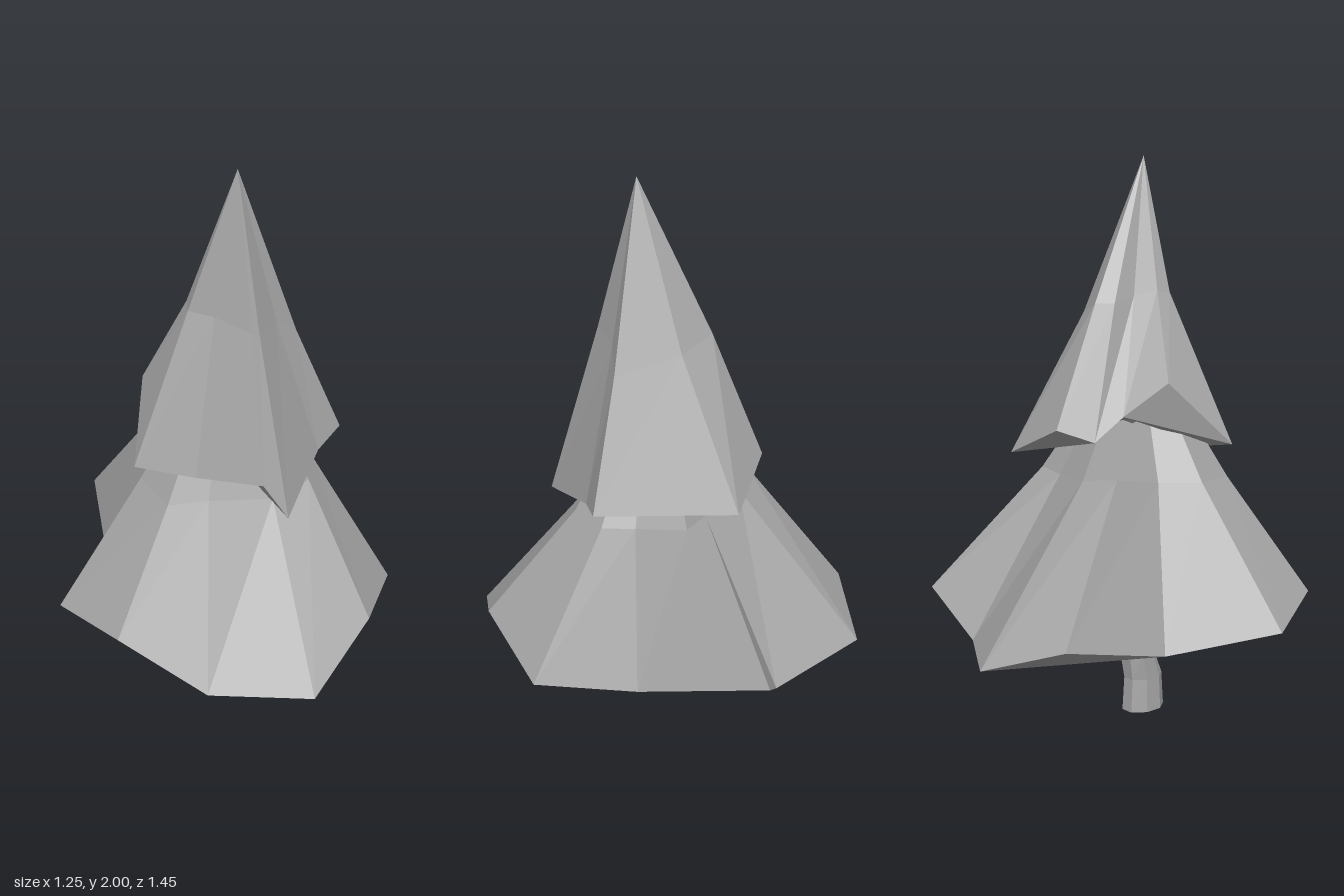
import * as THREE from 'three';

// Joins cross-sections from bottom to top; a last section of one point closes in a fan.
// Underside: the hem points listed in ears are cut off first, the rest fans out from point hub.
function loft(rings, ears, hub) {
  const base = rings[0], n = base.length;
  const at = (r, i) => r[(i + r.length) % r.length];
  const pos = [];
  for (let k = 0; k < rings.length - 1; k++) {
    const lo = rings[k], hi = rings[k + 1];
    for (let i = 0; i < n; i++) {
      pos.push(...at(lo, i + 1), ...at(lo, i), ...at(hi, i));
      if (hi.length > 1) pos.push(...at(lo, i + 1), ...at(hi, i), ...at(hi, i + 1));
    }
  }
  for (const e of ears) pos.push(...at(base, e - 1), ...base[e], ...at(base, e + 1));
  const rest = base.filter((p, i) => !ears.includes(i));
  rest.forEach((p, i) => {
    const q = at(rest, i + 1);
    if (p !== base[hub] && q !== base[hub]) pos.push(...p, ...q, ...base[hub]);
  });
  const geo = new THREE.BufferGeometry();
  geo.setAttribute('position', new THREE.Float32BufferAttribute(pos, 3));
  geo.computeVertexNormals();
  return geo;
}

// Rings run from the back by way of the left side (+x) to the front.
function oval(x, y, z, rx, rz, sides = 8) {
  return Array.from({ length: sides }, (_, i) => {
    const a = ((i + 0.5) / sides) * Math.PI * 2;
    return [x + Math.sin(a) * rx, y, z - Math.cos(a) * rz];
  });
}

export function createModel() {
  const model = new THREE.Group();
  model.name = 'tree';
  const grey = new THREE.MeshStandardMaterial({ color: 0xa6a6a6, flatShading: true });
  grey.name = 'grey';
  const add = (name, rings, ears, hub) => {
    const mesh = new THREE.Mesh(loft(rings, ears, hub), grey);
    mesh.name = name;
    model.add(mesh);
  };

  // Slightly crooked trunk
  add('trunk', [
    oval(-0.033, 0, 0.015, 0.064, 0.085),
    oval(-0.03, 0.12, 0.018, 0.06, 0.077),
    oval(-0.018, 0.22, -0.003, 0.07, 0.062),
    oval(-0.015, 0.45, -0.003, 0.07, 0.062),
  ], [], 0);

  // Wide lower skirt of branches
  add('lowerFoliage', [
    [
      [-0.07, 0.315, -0.725], [0.28, 0.29, -0.52], [0.49, 0.45, -0.555], [0.5, 0.31, -0.08],
      [0.625, 0.335, 0.26], [0.41, 0.43, 0.55], [0.14, 0.28, 0.72], [-0.21, 0.28, 0.59],
      [-0.48, 0.46, 0.41], [-0.625, 0.4, 0.11], [-0.38, 0.325, -0.195], [-0.335, 0.41, -0.58],
    ],
    [
      [-0.03, 0.88, -0.26], [0.17, 0.87, -0.205], [0.3, 0.88, -0.185], [0.31, 0.85, 0],
      [0.35, 0.85, 0.11], [0.28, 0.86, 0.24], [0.13, 0.84, 0.28], [-0.1, 0.87, 0.26],
      [-0.24, 0.865, 0.235], [-0.29, 0.87, 0.06], [-0.19, 0.87, -0.055], [-0.18, 0.9, -0.235],
    ],
    [[0.03, 1.4, 0.04]],
  ], [2, 8], 10);

  // Pointed upper skirt with a ragged hem
  add('upperFoliage', [
    [
      [0, 1.06, -0.35], [0.26, 0.955, -0.355], [0.455, 0.96, 0.09], [0.34, 0.93, 0.17],
      [0.14, 0.845, 0.405], [0.055, 0.985, 0.38], [-0.14, 0.965, 0.24], [-0.335, 1.0, 0.16],
      [-0.24, 1.22, -0.055], [-0.14, 1.105, -0.17], [-0.1, 1.02, -0.265],
    ],
    [
      [0.015, 1.485, -0.165], [0.15, 1.45, -0.107], [0.27, 1.39, 0.085], [0.18, 1.46, 0.13],
      [0.085, 1.48, 0.225], [0.06, 1.49, 0.23], [-0.04, 1.52, 0.135], [-0.11, 1.52, 0.07],
      [-0.1, 1.53, 0.02], [-0.04, 1.51, -0.035], [-0.03, 1.485, -0.115],
    ],
    [[0.05, 2, 0.09]],
  ], [0, 2, 8], 9);
  return model;
}
